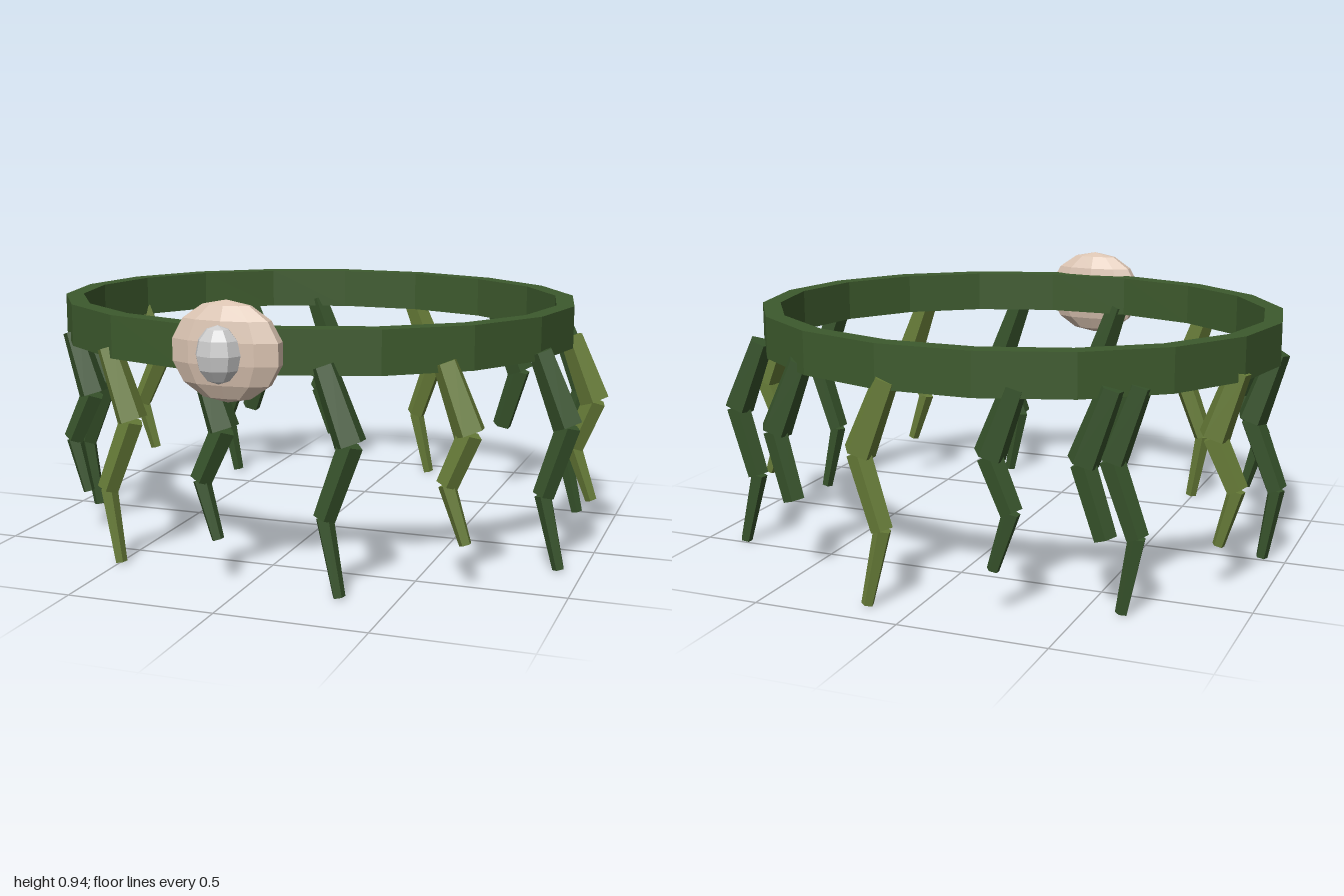
import * as THREE from 'three';

const mat = (color) => new THREE.MeshStandardMaterial({ color, flatShading: true });
const green = mat(0x3d5a2d);
const darkGreen = mat(0x37532b);
const olive = mat(0x677c38);
const blush = mat(0xd9c2b0);
const pale = mat(0xc9cdca);

function named(geometry, material, name) {
  const mesh = new THREE.Mesh(geometry, material);
  mesh.name = name;
  return mesh;
}

// Eighteen-sided oval outline with flat edges at front and back
function oval(Type, rx, rz) {
  const pts = [];
  for (let i = 0; i < 18; i++) {
    const a = (i / 18) * Math.PI * 2;
    pts.push(new THREE.Vector2(rx * Math.cos(a), rz * Math.sin(a)));
  }
  return new Type(pts);
}

function band() {
  const shape = oval(THREE.Shape, 0.93, 0.825);
  shape.holes.push(oval(THREE.Path, 0.868, 0.757));
  const geo = new THREE.ExtrudeGeometry(shape, { depth: 0.145, bevelEnabled: false });
  geo.rotateX(-Math.PI / 2);
  const mesh = named(geo, green, 'band');
  mesh.position.set(-0.037, 0.71, -0.055);
  return mesh;
}

// Five-sided tapered rod between two points
function rod(a, b, r0, r1, material) {
  const dir = b.clone().sub(a);
  const geo = new THREE.CylinderGeometry(r1, r0, dir.length(), 5);
  const mesh = named(geo, material, 'vineSegment');
  mesh.position.copy(a).addScaledVector(dir, 0.5);
  mesh.quaternion.setFromUnitVectors(new THREE.Vector3(0, 1, 0), dir.normalize());
  return mesh;
}

// Joint heights and sideways offsets of each vine kind, top to tip
const kinds = {
  long: { y: [0.74, 0.5, 0.26, 0.01], dx: [-0.055, 0.035, -0.05, 0] },
  medium: { y: [0.74, 0.52, 0.35, 0.16], dx: [-0.065, 0.015, -0.06, 0] },
  short: { y: [0.74, 0.5, 0.27], dx: [-0.055, 0.035, -0.04] },
};
const radii = [[0.042, 0.054], [0.042, 0.038], [0.03, 0.021]];

function vine(x, z, kind, material) {
  const vineGroup = new THREE.Group();
  vineGroup.name = 'hangingVine';
  const { y, dx } = kinds[kind];
  // vines splay slightly outward toward the tip
  const joints = y.map((h, i) => {
    const inward = 0.05 * (h / 0.74);
    return new THREE.Vector3(x * (1 - inward * 0.6) + dx[i], h, z * (1 - inward));
  });
  for (let i = 0; i < joints.length - 1; i++) {
    vineGroup.add(rod(joints[i], joints[i + 1], ...radii[i], material));
  }
  return vineGroup;
}

// Faceted ellipsoid
function bead(name, material, cols, rows, turn, size, pos) {
  const geo = new THREE.SphereGeometry(1, cols, rows);
  geo.rotateY(turn);
  geo.scale(...size);
  const mesh = named(geo, material, name);
  mesh.position.set(...pos);
  return mesh;
}

export function createModel() {
  const model = new THREE.Group();
  model.name = 'vineCrown';
  model.add(band());

  // Vines around the band: tip x, tip z, kind, colour
  const vines = [
    [0.155, -0.89, 'long', olive],
    [-0.255, -0.84, 'medium', darkGreen],
    [-0.55, -0.74, 'short', darkGreen],
    [-0.62, -0.665, 'long', darkGreen],
    [-0.85, -0.345, 'medium', olive],
    [-0.915, 0.02, 'long', darkGreen],
    [-0.775, 0.365, 'medium', darkGreen],
    [-0.495, 0.65, 'long', olive],
    [-0.09, 0.76, 'medium', darkGreen],
    [0.32, 0.745, 'long', darkGreen],
    [0.68, 0.55, 'medium', olive],
    [0.92, 0.235, 'long', darkGreen],
    [0.97, -0.125, 'medium', olive],
    [0.855, -0.485, 'long', darkGreen],
    [0.55, -0.74, 'short', darkGreen],
  ];
  for (const v of vines) model.add(vine(...v));

  // Front ornament
  model.add(bead('flowerDisc', blush, 10, 7, Math.PI / 10, [0.192, 0.162, 0.064], [-0.037, 0.78, 0.778]));
  model.add(bead('flowerCentre', pale, 8, 6, 0, [0.075, 0.092, 0.06], [-0.037, 0.78, 0.848]));
  return model;
}
